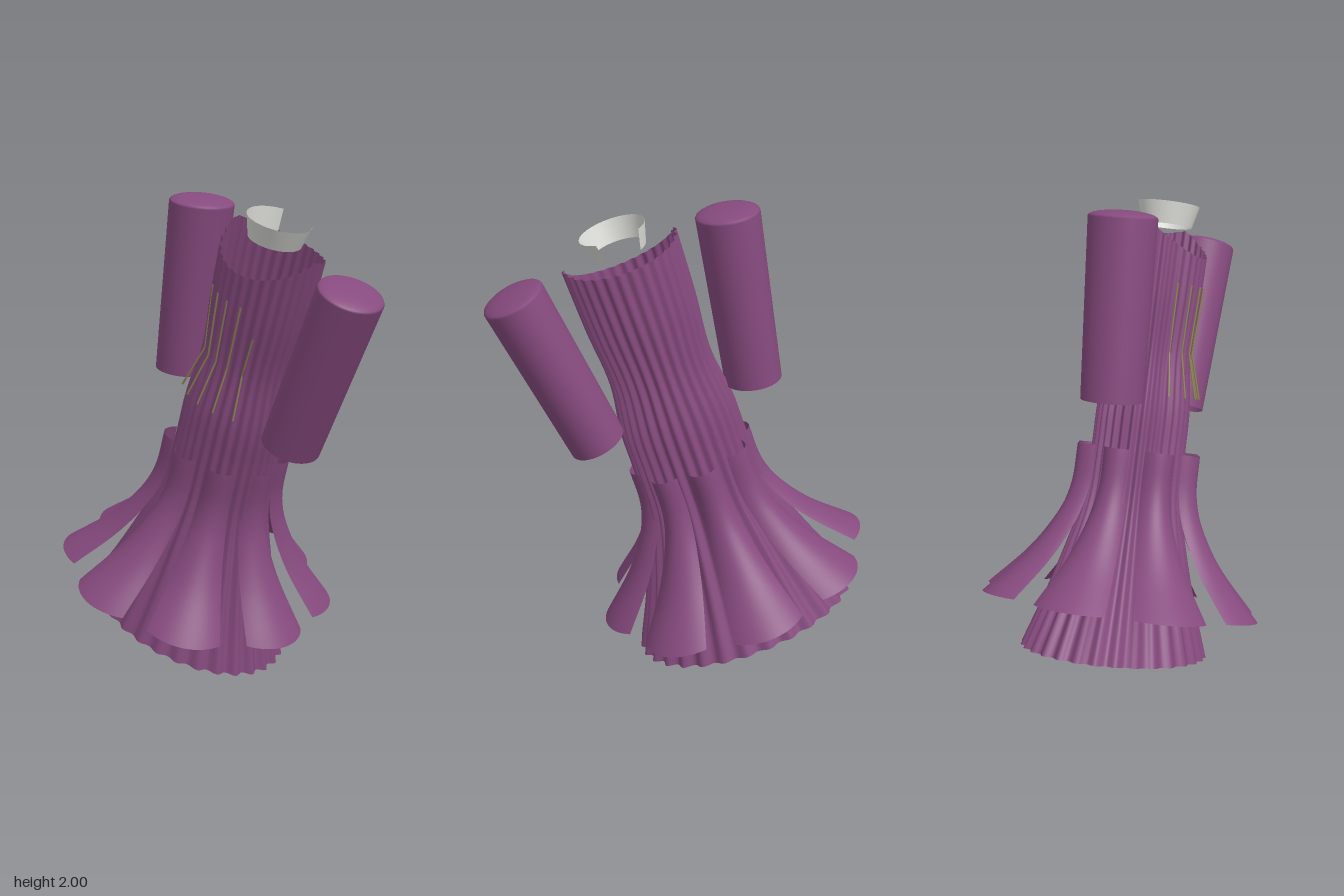
import * as THREE from 'three';
import { ParametricGeometry } from 'three/addons/geometries/ParametricGeometry.js';

const mat = (name, color) => {
  const m = new THREE.MeshStandardMaterial({ color, side: THREE.DoubleSide });
  m.name = name;
  return m;
};

// Smooth radius curve from [height, radius] pairs, sampled by height
function profile(pairs) {
  return (y) => {
    let i = 0;
    while (i < pairs.length - 2 && y > pairs[i + 1][0]) i++;
    const p = (k) => pairs[Math.min(Math.max(k, 0), pairs.length - 1)];
    const [y0, r0] = p(i), [y1, r1] = p(i + 1);
    const slope = (a, b) => (b[1] - a[1]) / (b[0] - a[0]);
    const m0 = slope(p(i - 1 < 0 ? 0 : i - 1), p(i + 1));
    const m1 = slope(p(i), p(i + 2));
    const h = y1 - y0, t = (y - y0) / h, t2 = t * t, t3 = t2 * t;
    return (2 * t3 - 3 * t2 + 1) * r0 + (t3 - 2 * t2 + t) * h * m0
      + (3 * t2 - 2 * t3) * r1 + (t3 - t2) * h * m1;
  };
}

export function createModel() {
  const purple = mat('purpleCloth', 0x864a7e);
  const white = mat('whiteCollar', 0xd8d8d4);
  const olive = mat('oliveThread', 0x8c8450);

  const root = new THREE.Group();
  root.name = 'dress';
  const dress = new THREE.Group();
  dress.name = 'tiltedDress';
  dress.position.set(-0.3, 0.155, 0);
  dress.rotation.z = -Math.PI / 10;
  root.add(dress);

  const add = (name, geometry, material) => {
    const mesh = new THREE.Mesh(geometry, material);
    mesh.name = name;
    dress.add(mesh);
    return mesh;
  };

  // Pleated oval gown, open at hem and neck, with a dipped neckline
  const gownRadius = profile([
    [0, 0.485], [0.2, 0.4], [0.4, 0.325], [0.63, 0.255], [0.85, 0.243],
    [1.02, 0.24], [1.25, 0.212], [1.5, 0.228], [1.79, 0.238],
  ]);
  add('gown', new ParametricGeometry((u, v, p) => {
    const a = u * Math.PI * 2, c = Math.cos(a);
    const y = v * (1.79 - (c > 0 ? 0.13 : 0.04) * Math.abs(c));
    const r = gownRadius(y) + (0.006 + 0.006 * (1 - v)) * Math.cos(30 * a);
    p.set(r * Math.sin(a), y, 0.74 * r * c);
  }, 240, 50), purple);

  // Eight flared overskirt panels, each bowed outward
  const panelRadius = profile([
    [0.2, 0.6], [0.38, 0.43], [0.55, 0.32], [0.68, 0.277], [0.847, 0.27],
  ]);
  const panel = new ParametricGeometry((u, v, p) => {
    const s = u * 2 - 1, a = s * 0.285;
    const y = 0.203 + 0.644 * v;
    const r = panelRadius(y) - (0.05 - 0.012 * v) * s * s;
    p.set(r * Math.sin(a), y, r * Math.cos(a));
  }, 16, 24);
  for (let i = 0; i < 8; i++) {
    add('skirtPanel' + (i + 1), panel, purple).rotation.y = i * Math.PI / 4;
  }

  // Tube sleeves with domed shoulders, open at the cuff
  const points = [new THREE.Vector2(0.119, 0), new THREE.Vector2(0.131, 0.725)];
  for (let i = 1; i <= 6; i++) {
    const a = i / 6 * Math.PI / 2;
    points.push(new THREE.Vector2(0.131 * Math.cos(a), 0.725 + 0.028 * Math.sin(a)));
  }
  const sleeve = new THREE.LatheGeometry(points, 48);
  for (const side of [-1, 1]) {
    const mesh = add(side > 0 ? 'leftSleeve' : 'rightSleeve', sleeve, purple);
    mesh.position.set(side * 0.35, 1.038, 0);
    mesh.rotation.z = -side * 0.15;
    mesh.scale.z = 1.07;
  }

  // Flared collar band, open at the back
  const gap = 0.7;
  const collar = add('collar', new THREE.CylinderGeometry(
    0.137, 0.113, 0.09, 48, 1, true, Math.PI + gap, Math.PI * 2 - gap * 2), white);
  collar.position.y = 1.827;
  collar.scale.z = 0.95;

  // Thin embroidered threads down the front of the bodice
  for (let i = -2; i <= 2; i++) {
    const at = (x, y, z) => new THREE.Vector3(x * i, y, z * (1 - 0.06 * i * i));
    const path = new THREE.CurvePath();
    const a = at(0.072, i === 2 ? 1.43 : 1.54, 0.185);
    const b = at(0.061, 1.264, 0.172);
    const c = at(0.083, 1.08, 0.222);
    path.add(new THREE.LineCurve3(a, b));
    path.add(new THREE.LineCurve3(b, c));
    add('thread' + (i + 3), new THREE.TubeGeometry(path, 24, 0.004, 6), olive);
  }
  return root;
}
